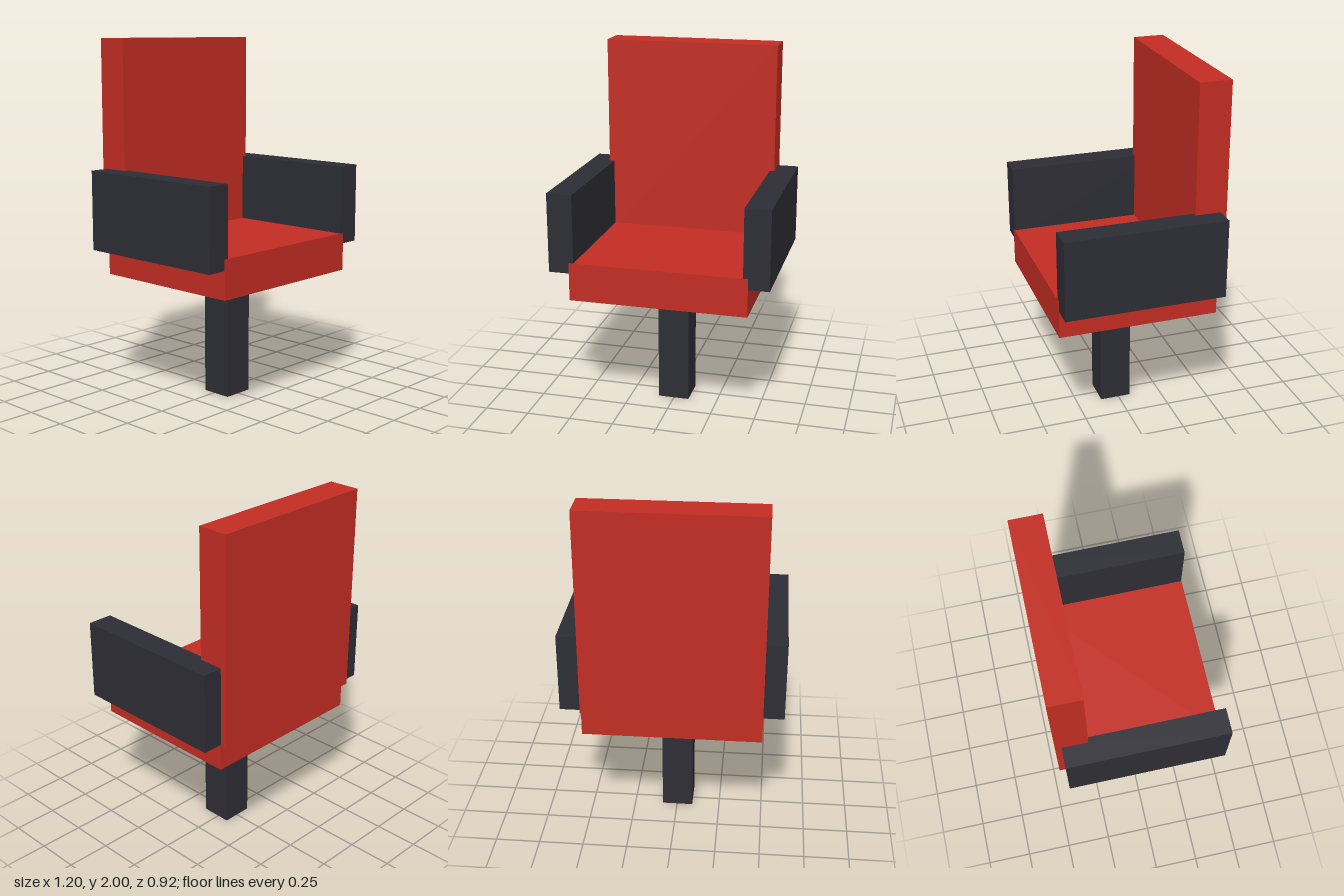
import * as THREE from 'three';

export function createModel() {
  const chair = new THREE.Group();
  chair.name = 'armchair';

  const red = new THREE.MeshStandardMaterial({ color: 0xc22d23 });
  red.name = 'red upholstery';
  const charcoal = new THREE.MeshStandardMaterial({ color: 0x2d2d35 });
  charcoal.name = 'charcoal frame';

  // Box given by its lower and upper corners
  function block(name, material, [x0, y0, z0], [x1, y1, z1]) {
    const mesh = new THREE.Mesh(new THREE.BoxGeometry(x1 - x0, y1 - y0, z1 - z0), material);
    mesh.position.set((x0 + x1) / 2, (y0 + y1) / 2, (z0 + z1) / 2);
    mesh.name = name;
    chair.add(mesh);
  }

  // Upholstered seat and backrest
  block('seat', red, [-0.49, 0.697, -0.424], [0.488, 0.91, 0.461]);
  block('backrest', red, [-0.49, 0.85, -0.461], [0.487, 2, -0.285]);

  // Solid armrests, overlapping the seat edges
  block('leftArmrest', charcoal, [0.461, 0.85, -0.426], [0.602, 1.29, 0.459]);
  block('rightArmrest', charcoal, [-0.603, 0.85, -0.426], [-0.463, 1.29, 0.459]);

  // Single square post
  block('post', charcoal, [-0.09, 0, -0.07], [0.086, 0.7, 0.106]);

  return chair;
}
